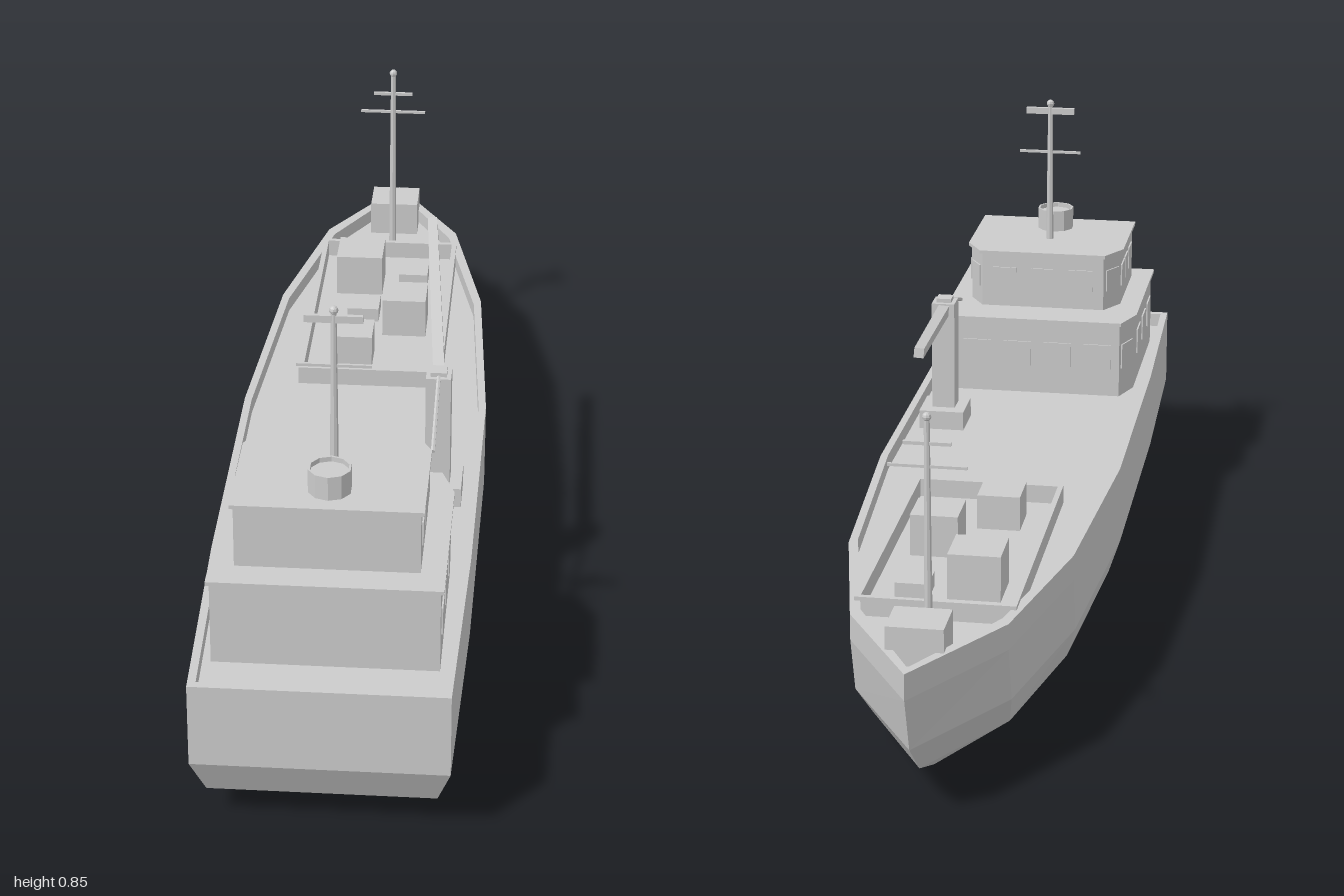
import * as THREE from 'three';

const grey = new THREE.MeshStandardMaterial({ color: 0xcccccc, flatShading: true });
const DECK = 0.265;

function add(parent, name, geometry, x = 0, y = 0, z = 0) {
  const mesh = new THREE.Mesh(geometry, grey);
  mesh.name = name;
  mesh.position.set(x, y, z);
  parent.add(mesh);
  return mesh;
}

// Box standing on y0, reaching y1
function block(parent, name, x, z, w, d, y0, y1) {
  return add(parent, name, new THREE.BoxGeometry(w, y1 - y0, d), x, (y0 + y1) / 2, z);
}

// Straight bar between two points; 4 sides gives a square beam
function bar(parent, name, a, b, r0, r1 = r0, sides = 6) {
  const from = new THREE.Vector3(...a), to = new THREE.Vector3(...b);
  const dir = to.clone().sub(from);
  const geo = new THREE.CylinderGeometry(r1, r0, dir.length(), sides);
  if (sides === 4) geo.rotateY(Math.PI / 4);
  const mesh = add(parent, name, geo);
  mesh.position.copy(from).add(to).multiplyScalar(0.5);
  mesh.quaternion.setFromUnitVectors(new THREE.Vector3(0, 1, 0), dir.normalize());
  return mesh;
}

// Hull lofted from level rings, folded over the rail and down to the deck
function hullGeometry() {
  // [fraction from stern to bow, half width relative to midship]
  const stations = [[0, 0.94], [0.22, 0.99], [0.5, 1], [0.725, 0.875], [0.885, 0.585], [1, 0]];
  // [y, stern z, bow z, half width, inset]
  const levels = [
    [0, 0.85, -0.73, 0.13, 0], [0.06, 0.96, -0.87, 0.21, 0],
    [0.137, 1, -0.96, 0.235, 0], [0.245, 1, -1, 0.235, 0], [0.293, 1, -1, 0.235, 0],
    [0.293, 0.985, -0.972, 0.235, 0.014], [DECK, 0.985, -0.972, 0.235, 0.014],
  ];
  const rings = levels.map(([y, zs, zb, w, inset]) => {
    const side = stations.map(([f, k]) =>
      [Math.max(0, w * k - inset), y, zs + (zb - zs) * f]);
    const port = side.slice(0, -1).reverse().map(([x, py, z]) => [-x, py, z]);
    return [...side, ...port];
  });
  const out = [];
  const quad = (a, b, c, d) => out.push(...a, ...b, ...c, ...a, ...c, ...d);
  const n = rings[0].length;
  for (let i = 0; i < rings.length - 1; i++) {
    for (let j = 0; j < n; j++) {
      const k = (j + 1) % n;
      quad(rings[i][j], rings[i][k], rings[i + 1][k], rings[i + 1][j]);
    }
  }
  // Keel plate and deck
  const bottom = rings[0], top = rings[rings.length - 1];
  for (let j = 0; j < stations.length - 1; j++) {
    const p = n - 1 - j;
    quad(top[j], top[j + 1], top[p - 1], top[p]);
    quad(bottom[p], bottom[p - 1], bottom[j + 1], bottom[j]);
  }
  const geo = new THREE.BufferGeometry();
  geo.setAttribute('position', new THREE.Float32BufferAttribute(out, 3));
  geo.computeVertexNormals();
  return geo;
}

// Prism with cut corners toward the bow
function cutPrism(parent, name, w, wf, zBack, zCut, zFront, y0, y1) {
  const pts = [[w, zBack], [w, zCut], [wf, zFront], [-wf, zFront], [-w, zCut], [-w, zBack]];
  const shape = new THREE.Shape(pts.map(([x, z]) => new THREE.Vector2(x, -z)));
  const geo = new THREE.ExtrudeGeometry(shape, { depth: y1 - y0, bevelEnabled: false });
  geo.rotateX(-Math.PI / 2);
  return add(parent, name, geo, 0, y0, 0);
}

function pane(parent, x, y, z, w, h, angle) {
  add(parent, 'window', new THREE.BoxGeometry(w, h, 0.006), x, y, z).rotation.y = angle;
}

// One storey: walls, roof slab, windows on sides, cut corners and front
function storey(parent, name, s) {
  const g = new THREE.Group();
  g.name = name;
  parent.add(g);
  cutPrism(g, 'walls', s.w, s.wf, s.back, s.cut, s.front, s.y0, s.y1);
  cutPrism(g, 'roof', s.w + 0.006, s.wf + 0.004, s.back + 0.006, s.cut - 0.004, s.front - 0.009, s.y1, s.y1 + 0.007);
  const angle = Math.atan2(s.cut - s.front, -(s.w - s.wf));
  for (const m of [1, -1]) {
    for (const z of s.sideZ) pane(g, m * s.w, s.winY, z, s.winW, s.winH, Math.PI / 2);
    pane(g, m * (s.w + s.wf) / 2, s.winY, (s.cut + s.front) / 2, s.cornerW, s.winH, m * angle);
  }
  for (const x of s.frontX) pane(g, x, s.winY, s.front, s.winW, s.winH, 0);
}

// Mast with cross bars given as [y, half width, thickness]
function mast(parent, name, z, y0, y1, bars) {
  const g = new THREE.Group();
  g.name = name;
  parent.add(g);
  bar(g, 'pole', [0, y0, z], [0, y1, z], 0.0075, 0.005, 8);
  add(g, 'mastLight', new THREE.SphereGeometry(0.008, 8, 6), 0, y1 - 0.004, z);
  for (const [y, hw, t] of bars) {
    block(g, 'crossBar', 0, z, hw * 2, Math.min(t, 0.008), y - t / 2, y + t / 2);
  }
}

export function createModel() {
  const ship = new THREE.Group();
  ship.name = 'cargoShip';
  add(ship, 'hull', hullGeometry());

  // Hatch coaming and the cargo inside it
  const hatch = new THREE.Group();
  hatch.name = 'hatch';
  ship.add(hatch);
  for (const m of [1, -1]) {
    block(hatch, 'coamingSide', m * 0.137, -0.415, 0.01, 0.59, DECK, 0.3);
    block(hatch, 'coamingEnd', 0, -0.415 + m * 0.29, 0.264, 0.01, DECK, 0.3);
  }
  const cargo = [
    [-0.052, -0.568, 0.095, 0.35], [0.058, -0.592, 0.06, 0.293], [-0.035, -0.43, 0.064, 0.293],
    [0.053, -0.382, 0.088, 0.344], [-0.042, -0.238, 0.08, 0.331],
  ];
  for (const [x, z, s, y] of cargo) block(hatch, 'cargoBox', x, z, s, s, DECK, y);
  block(ship, 'bowLocker', 0, -0.863, 0.1, 0.088, DECK, 0.335);

  // Deckhouse and bridge
  storey(ship, 'deckhouse', {
    w: 0.195, wf: 0.172, back: 0.88, cut: 0.562, front: 0.5, y0: DECK, y1: 0.42,
    winY: 0.35, winW: 0.058, winH: 0.052, cornerW: 0.05,
    sideZ: [0.828, 0.735, 0.642], frontX: [-0.126, -0.042, 0.042, 0.126],
  });
  storey(ship, 'bridge', {
    w: 0.158, wf: 0.128, back: 0.83, cut: 0.628, front: 0.577, y0: 0.427, y1: 0.541,
    winY: 0.489, winW: 0.05, winH: 0.045, cornerW: 0.042,
    sideZ: [0.78, 0.713, 0.655], frontX: [-0.08, 0, 0.08],
  });

  // Funnel with an open top
  const funnel = [[0.038, 0], [0.038, 0.045], [0.034, 0.045], [0.034, 0.036], [0, 0.036]]
    .map(([r, y]) => new THREE.Vector2(r, y));
  add(ship, 'funnel', new THREE.LatheGeometry(funnel, 10), 0, 0.547, 0.77);

  mast(ship, 'aftMast', 0.68, 0.545, 0.845, [[0.825, 0.05, 0.013], [0.737, 0.064, 0.005]]);
  mast(ship, 'bowMast', -0.775, DECK, 0.665, [[0.614, 0.041, 0.006], [0.573, 0.068, 0.005]]);

  // Deck crane
  const crane = new THREE.Group();
  crane.name = 'crane';
  ship.add(crane);
  block(crane, 'craneBase', 0.158, 0.29, 0.09, 0.092, DECK, 0.303);
  block(crane, 'cranePost', 0.158, 0.295, 0.046, 0.048, 0.303, 0.522);
  block(crane, 'postCap', 0.158, 0.295, 0.03, 0.03, 0.522, 0.53);
  bar(crane, 'boom', [0.158, 0.506, 0.285], [0.116, 0.583, -0.22], 0.015, 0.013, 4);
  bar(crane, 'backStay', [0.158, 0.526, 0.295], [0.158, 0.466, 0.485], 0.004);
  return ship;
}
